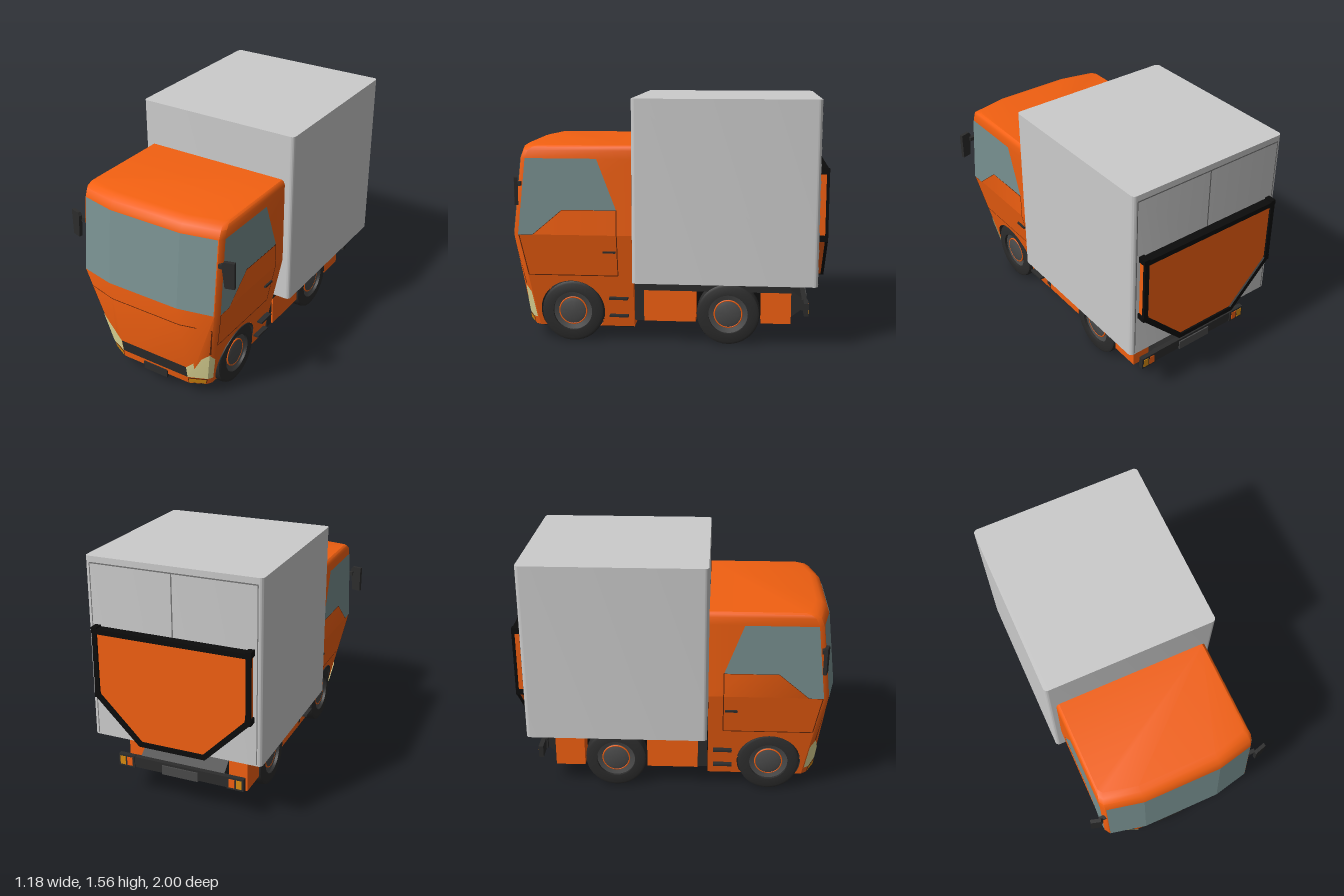
import * as THREE from 'three';
import { toCreasedNormals } from 'three/addons/utils/BufferGeometryUtils.js';

const mat = (color) => new THREE.MeshStandardMaterial({ color, side: THREE.DoubleSide });
const M = {
  orange: mat(0xf26011), grey: mat(0xcccccc), glass: mat(0x789090), dark: mat(0x2c2c2c), black: mat(0x0c0c0c),
  lamp: mat(0xe8e09c), amber: mat(0xd98c10), rim: mat(0x4a4a4a), seam: mat(0x6b2a08), joint: mat(0x777777),
};
const BACK = 0.205, AXLE_Y = 0.205, R = 0.2, FRONT_AXLE = 0.6, REAR_AXLE = -0.395;

// Cab outline by height: [y, half width, front z]
const PROFILE = [[0.1, 0.37, 0.9], [0.72, 0.5, 1], [1.2, 0.5, 0.945], [1.25, 0.5, 0.925], [1.27, 0.492, 0.895], [1.28, 0.48, 0.86]];
function at(y, k) {
  let i = 0;
  while (i < PROFILE.length - 2 && y > PROFILE[i + 1][0]) i++;
  const a = PROFILE[i], b = PROFILE[i + 1];
  return a[k] + (b[k] - a[k]) * (y - a[0]) / (b[0] - a[0]);
}
const W = (y) => at(y, 1), Z = (y) => at(y, 2);

// Points on the cab skin, lifted a little outward
const onFront = (lift) => (x, y) => {
  const ax = Math.abs(x), edge = W(y) - 0.02;
  let z = Z(y);
  if (ax > edge) z -= 0.05 + 1.5 * (ax - edge);
  else if (ax > 0.25) z -= 0.05 * (ax - 0.25) / (edge - 0.25);
  return [x + (ax > edge ? Math.sign(x) * lift : 0), y, z + lift];
};
const onSide = (s, lift) => (z, y) => [s * (W(y) + lift), y, z];

export function createModel() {
  const model = new THREE.Group();
  const add = (name, geometry, material, parent = model) => {
    const m = new THREE.Mesh(geometry, material);
    m.name = name;
    parent.add(m);
    return m;
  };
  const box = (name, x0, x1, y0, y1, z0, z1, material) => {
    const m = add(name, new THREE.BoxGeometry(x1 - x0, y1 - y0, z1 - z0), material);
    m.position.set((x0 + x1) / 2, (y0 + y1) / 2, (z0 + z1) / 2);
    return m;
  };
  const shapeOf = (pts) => new THREE.Shape(pts.map((p) => new THREE.Vector2(p[0], p[1])));
  // Flat outline laid onto a surface
  const patch = (name, shape, map, material) => {
    const g = new THREE.ShapeGeometry(Array.isArray(shape) ? shapeOf(shape) : shape, 24);
    const p = g.attributes.position;
    for (let i = 0; i < p.count; i++) p.setXYZ(i, ...map(p.getX(i), p.getY(i)));
    g.computeVertexNormals();
    return add(name, g, material);
  };
  const seam = (name, pts, map, material = M.seam, w = 0.003) => {
    for (let i = 0; i < pts.length - 1; i++) {
      const [a, b] = [pts[i], pts[i + 1]];
      const d = Math.hypot(b[0] - a[0], b[1] - a[1]);
      const nx = -(b[1] - a[1]) / d * w, ny = (b[0] - a[0]) / d * w;
      patch(name, [[a[0] - nx, a[1] - ny], [b[0] - nx, b[1] - ny], [b[0] + nx, b[1] + ny], [a[0] + nx, a[1] + ny]], map, material);
    }
  };

  // Cab shell: plan outlines stacked by height; the lowest side walls are left for the arched panels
  const pos = [], idx = [], n = 8;
  for (const [y, w, z] of PROFILE) {
    const half = [[w, BACK], [w, z - 0.08], [w - 0.02, z - 0.05], [0.25, z]];
    const ring = [...half, ...half.map(([x, q]) => [-x, q]).reverse()];
    for (const [x, q] of ring) pos.push(x, y, q);
  }
  for (let i = 0; i < PROFILE.length - 1; i++) {
    for (let j = 0; j < n; j++) {
      if (i === 0 && (j === 0 || j === 6)) continue;
      const a = i * n + j, c = i * n + (j + 1) % n;
      idx.push(a, a + n, c, a + n, c + n, c);
    }
  }
  const top = (PROFILE.length - 1) * n;
  for (let j = 1; j < n - 1; j++) idx.push(top, top + j + 1, top + j, 0, j, j + 1);
  const shell = new THREE.BufferGeometry();
  shell.setAttribute('position', new THREE.Float32BufferAttribute(pos, 3));
  shell.setIndex(idx);
  add('cabShell', toCreasedNormals(shell, 0.65), M.orange);
  patch('cabUnderside', [[-0.365, 0.21], [0.365, 0.21], [0.365, 0.81], [0.25, 0.89], [-0.25, 0.89], [-0.365, 0.81]],
    (x, z) => [x, 0.096, z], M.black);

  // Windscreen in three facets
  const E = 0.476;
  for (const [a, b] of [[-E, -0.25], [-0.25, 0.25], [0.25, E]]) {
    patch('windscreen', [[a, 0.72], [b, 0.72], [b, 1.2], [a, 1.2]], onFront(0.003), M.glass);
  }
  // Front panel seam, grille and number plate
  seam('frontPanelSeam', [[-0.41, 0.38], [-0.45, 0.592], [-0.25, 0.592], [0.25, 0.592], [0.45, 0.592], [0.41, 0.38]], onFront(0.003));
  patch('grille', [[-0.25, 0.155], [0.25, 0.155], [0.25, 0.24], [-0.25, 0.24]], onFront(0.004), M.dark);
  box('frontPlate', -0.09, 0.09, 0.08, 0.135, 0.895, 0.912, M.dark);

  for (const s of [1, -1]) {
    const front = (pts) => pts.map(([x, y]) => [s * x, y]);
    const side = onSide(s, 0.003);

    // Lower side panel with wheel arch
    const dy = AXLE_Y - 0.1, r = R + 0.006, dz = Math.sqrt(r * r - dy * dy), ang = Math.asin(dy / r);
    const panel = new THREE.Shape();
    panel.moveTo(BACK, 0.1);
    panel.lineTo(FRONT_AXLE - dz, 0.1);
    panel.absarc(FRONT_AXLE, AXLE_Y, r, Math.PI + ang, -ang, true);
    panel.lineTo(Z(0.1) - 0.08, 0.1);
    panel.lineTo(Z(0.72) - 0.08, 0.72);
    panel.lineTo(BACK, 0.72);
    patch('cabSidePanel', panel, onSide(s, 0), M.orange);

    // Arch liner, its outer edge following the sloping side
    const liner = new THREE.CylinderGeometry(r, r, 1, 32, 1, true);
    const lp = liner.attributes.position;
    for (let i = 0; i < lp.count; i++) {
      const y = Math.max(0.1, AXLE_Y + lp.getX(i));
      lp.setXYZ(i, s * (lp.getY(i) > 0 ? W(y) + 0.006 : 0.27), y, FRONT_AXLE + lp.getZ(i));
    }
    liner.computeVertexNormals();
    add('wheelArch', liner, M.dark);

    // Side window, door seams, handle and steps
    patch('sideWindow', [[0.92, 0.72], [0.83, 0.72], [0.64, 0.88], [0.3, 0.88], [0.42, 1.2], [0.865, 1.2]], side, M.glass);
    seam('doorSeam', [[0.64, 0.88], [0.3, 0.88], [0.3, 0.72], [0.3, 0.45], [0.87, 0.45], [0.915, 0.72], [0.83, 0.72], [0.64, 0.88]], side);
    const bar = (name, y, reach, z0, z1) => {
      const a = s * (W(y) - 0.03), b = s * (W(y) + reach);
      box(name, Math.min(a, b), Math.max(a, b), y - 0.006, y + 0.006, z0, z1, M.dark);
    };
    bar('doorHandle', 0.61, 0.013, 0.31, 0.39);
    bar('cabStep', 0.3, 0.037, 0.24, 0.36);
    bar('cabStep', 0.18, 0.037, 0.24, 0.36);

    // Headlight wrapping the corner, and indicator
    const e = (y) => W(y) - 0.02;
    patch('headlight', front([[0.25, 0.155], [e(0.155), 0.155], [e(0.375), 0.375], [0.25, 0.24]]), onFront(0.005), M.lamp);
    patch('headlightCorner', front([[e(0.155), 0.155], [W(0.155), 0.155], [W(0.33), 0.33], [e(0.375), 0.375]]), onFront(0.005), M.lamp);
    patch('indicatorFrame', front([[0.25, 0.106], [0.35, 0.106], [0.362, 0.15], [0.25, 0.15]]), onFront(0.004), M.seam);
    patch('indicator', front([[0.256, 0.11], [0.349, 0.11], [0.357, 0.143], [0.256, 0.143]]), onFront(0.007), M.amber);

    // Mirror on a short arm
    const mirror = new THREE.Group();
    mirror.name = 'mirror';
    const head = new THREE.ExtrudeGeometry(shapeOf([[0, 1.07], [0.013, 1.09], [0.078, 1.09], [0.078, 0.92], [0.018, 0.92]]),
      { depth: 0.022, bevelEnabled: false });
    add('mirrorHead', head, M.dark, mirror);
    mirror.position.set(s * 0.512, 0, 0.912);
    mirror.rotation.y = s > 0 ? 0.28 : Math.PI - 0.28;
    if (s < 0) mirror.position.z += 0.022;
    model.add(mirror);
    box('mirrorArm', s * 0.505 - 0.02, s * 0.505 + 0.02, 1.03, 1.055, 0.89, 0.915, M.dark);

    // Chassis side skirts either side of the rear wheel
    for (const [z0, z1] of [[-0.19, 0.14], [-0.79, -0.6]]) {
      box('sideSkirt', s > 0 ? 0.26 : -0.4, s > 0 ? 0.4 : -0.26, 0.15, 0.35, z0, z1, M.orange);
    }
    // Tail lamps
    box('tailLampHousing', s * 0.365 - 0.055, s * 0.365 + 0.055, 0.21, 0.29, -0.9, -0.87, M.dark);
    box('tailLampAmber', s * 0.39 - 0.018, s * 0.39 + 0.018, 0.222, 0.278, -0.903, -0.89, M.amber);
    box('tailLampRed', s * 0.343 - 0.018, s * 0.343 + 0.018, 0.222, 0.278, -0.903, -0.89, M.orange);
  }

  // Wheels: lathed tyre, rim, coloured ring and hub
  const lathe = (pts) => toCreasedNormals(new THREE.LatheGeometry(pts.map((p) => new THREE.Vector2(...p)), 40), 0.5);
  const tyre = lathe([[0.125, -0.06], [0.18, -0.06], [0.195, -0.052], [R, -0.035], [R, 0.035], [0.195, 0.052], [0.18, 0.06], [0.125, 0.06], [0.125, 0.04]]);
  const rim = lathe([[0, -0.05], [0.125, -0.05], [0.125, 0.042], [0.09, 0.03], [0.085, 0.046], [0.06, 0.054], [0, 0.054]]);
  for (const z of [FRONT_AXLE, REAR_AXLE]) {
    for (const s of [1, -1]) {
      const wheel = new THREE.Group();
      wheel.name = z > 0 ? 'frontWheel' : 'rearWheel';
      add('tyre', tyre, M.dark, wheel);
      add('rim', rim, M.rim, wheel);
      const ring = add('rimRing', new THREE.TorusGeometry(0.087, 0.005, 8, 40), M.orange, wheel);
      ring.rotation.x = Math.PI / 2;
      ring.position.y = 0.043;
      wheel.rotation.z = -s * Math.PI / 2;
      wheel.position.set(s * 0.352, AXLE_Y, z);
      model.add(wheel);
    }
  }

  // Chassis and rear bumper
  box('chassis', -0.27, 0.27, 0.148, 0.42, -0.79, 0.2, M.black);
  box('chassisFrame', -0.4, 0.4, 0.35, 0.428, -0.79, 0.2, M.dark);
  box('frontCrossMember', -0.39, 0.39, 0.15, 0.36, 0.14, 0.2, M.dark);
  const taper = new THREE.ExtrudeGeometry(shapeOf([[0.78, 0.15], [0.87, 0.22], [0.87, 0.28], [0.78, 0.35]]), { depth: 0.56, bevelEnabled: false });
  taper.rotateY(Math.PI / 2).translate(-0.28, 0, 0);
  add('bumperMount', taper, M.dark);
  box('rearBumper', -0.31, 0.31, 0.215, 0.285, -0.895, -0.86, M.dark);
  box('rearPlate', -0.12, 0.12, 0.21, 0.27, -0.903, -0.89, M.rim);

  // Cargo box with rounded upright corners
  const plan = new THREE.Shape(), bx = 0.55, z0 = -0.2, z1 = 0.945, c = 0.025;
  plan.absarc(bx - c, z1 - c, c, 0, Math.PI / 2);
  plan.absarc(-bx + c, z1 - c, c, Math.PI / 2, Math.PI);
  plan.absarc(-bx + c, z0 + c, c, Math.PI, Math.PI * 1.5);
  plan.absarc(bx - c, z0 + c, c, Math.PI * 1.5, Math.PI * 2);
  const cargo = new THREE.ExtrudeGeometry(plan, { depth: 1.14, bevelEnabled: false, curveSegments: 6 });
  cargo.rotateX(-Math.PI / 2).translate(0, 0.43, 0);
  add('cargoBox', toCreasedNormals(cargo, 0.6), M.grey);
  const onBack = (x, y) => [x, y, -0.947];
  seam('doorTopSeam', [[-0.52, 1.53], [0.52, 1.53]], onBack, M.joint, 0.004);
  seam('rearDoorSeam', [[0, 0.44], [0, 1.53]], onBack, M.joint, 0.004);
  for (const s of [1, -1]) seam('doorEdgeSeam', [[s * 0.52, 0.44], [s * 0.52, 1.53]], onBack, M.joint, 0.003);

  // Tail lift: coloured panel inside a black frame
  const outline = (d) => [[-0.5 + d, 1.145 - d], [-0.5 + d, 0.715 + d * 0.6], [-0.215 + d * 0.5, 0.43 + d],
    [0.215 - d * 0.5, 0.43 + d], [0.5 - d, 0.715 + d * 0.6], [0.5 - d, 1.145 - d]];
  const lift = new THREE.ExtrudeGeometry(shapeOf(outline(0.006)), { depth: 0.042, bevelEnabled: false });
  lift.translate(0, 0, -0.988);
  add('tailLiftPanel', lift, M.orange);
  const frame = shapeOf(outline(0));
  frame.holes.push(shapeOf(outline(0.03)));
  const frameGeo = new THREE.ExtrudeGeometry(frame, { depth: 0.018, bevelEnabled: false });
  frameGeo.translate(0, 0, -1);
  add('tailLiftFrame', frameGeo, M.black);
  box('tailLiftTopBar', -0.5, 0.5, 1.125, 1.147, -1, -0.943, M.black);
  for (const s of [1, -1]) {
    for (const y of [0.725, 1.138]) box('tailLiftHinge', s * 0.485 - 0.018, s * 0.485 + 0.018, y - 0.018, y + 0.018, -1, -0.943, M.black);
  }
  box('tailLiftBottomBar', -0.215, 0.215, 0.43, 0.45, -1, -0.943, M.black);
  return model;
}
